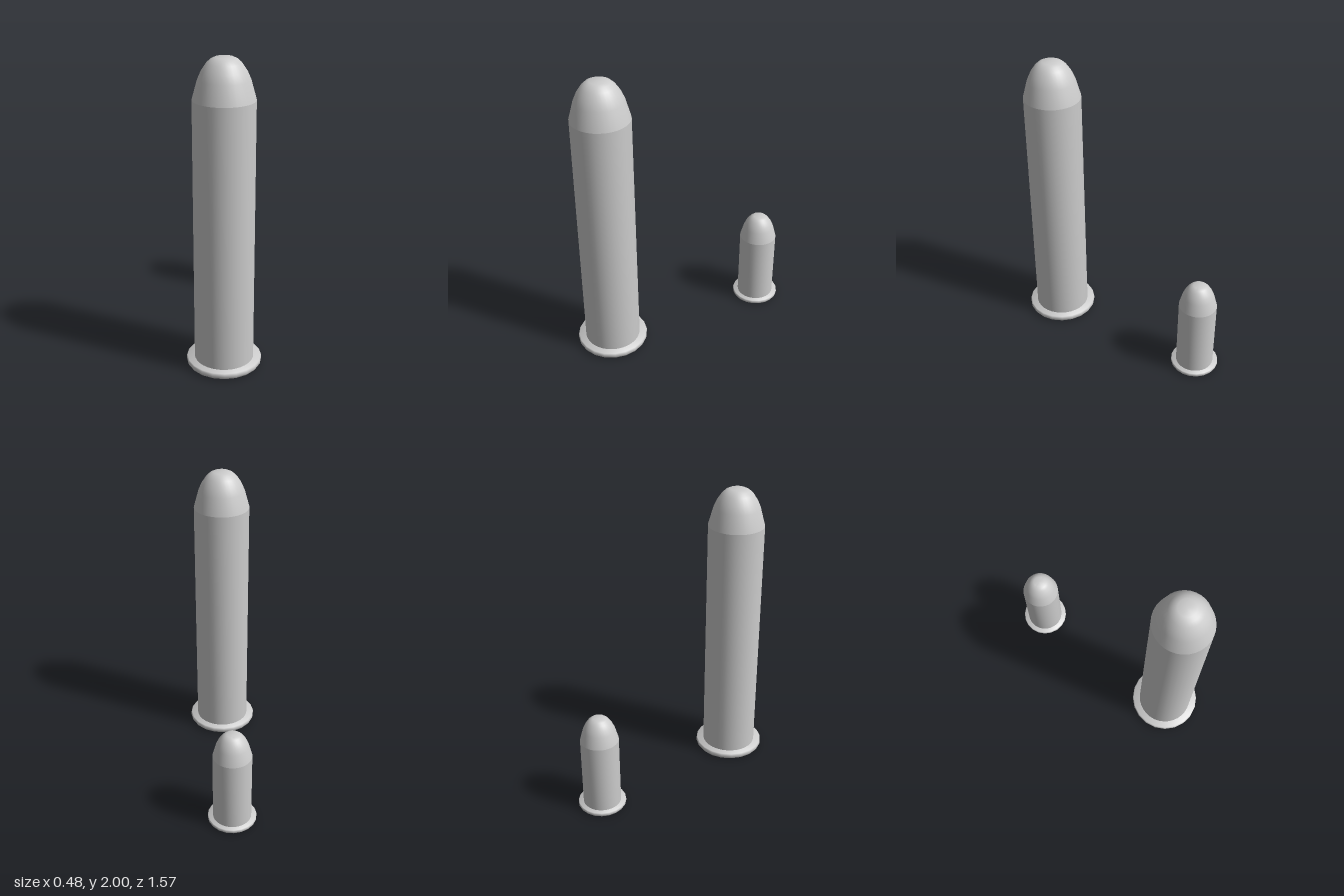
import * as THREE from 'three';
import { toCreasedNormals } from 'three/addons/utils/BufferGeometryUtils.js';

const material = new THREE.MeshStandardMaterial({ color: 0xcccccc });

// Smooth turned solid from [radius, height] pairs, bottom to top
function turned(name, profile, sides, crease) {
  const points = profile.map(([r, y]) => new THREE.Vector2(r, y));
  const geometry = toCreasedNormals(new THREE.LatheGeometry(points, sides), crease);
  const mesh = new THREE.Mesh(geometry, material);
  mesh.name = name;
  return mesh;
}

// One cartridge: s scales the cross-section and nose, height sets the length
function cartridge(name, height, s, z) {
  const group = new THREE.Group();
  group.name = name;

  // Rim disc with softened edges
  group.add(turned('rim', [
    [0, 0], [0.215, 0], [0.235, 0.008], [0.242, 0.02], [0.242, 0.04], [0.236, 0.046], [0, 0.046],
  ].map(([r, y]) => [r * s, y * s]), 20, 1.0));

  // Straight case
  const shoulder = height - 0.25 * s;
  group.add(turned('case', [
    [0.19 * s, 0.03 * s], [0.19 * s, shoulder],
  ], 32, 0.6));

  // Rounded nose with a small flat tip
  group.add(turned('nose', [
    [0.19, -0.25], [0.157, -0.13], [0.135, -0.08], [0.105, -0.035], [0.08, -0.012], [0.055, 0], [0, 0],
  ].map(([r, y]) => [r * s, height + y * s]), 32, 0.8));

  group.position.z = z;
  return group;
}

export function createModel() {
  const model = new THREE.Group();
  model.name = 'cartridgePair';
  model.add(cartridge('longCartridge', 2, 1, 0.54));
  model.add(cartridge('shortCartridge', 0.695, 0.675, -0.62));
  return model;
}
